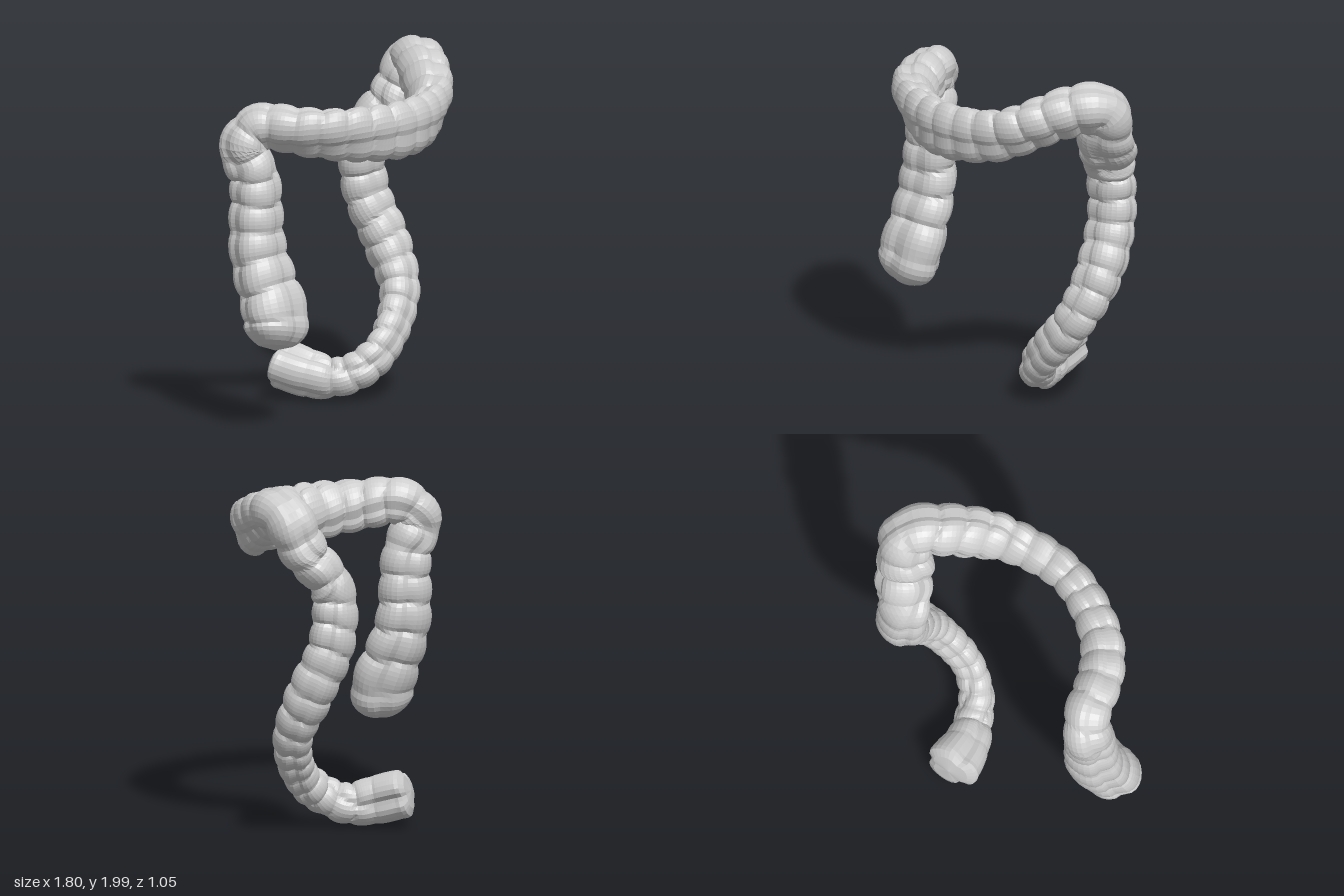
import * as THREE from 'three';

// Centre line of each section: x, y, z, half width outward, half width across
const SECTIONS = [
  ['caecum', [
    [-0.735, 0.46, 0.06, 0.18, 0.15], [-0.695, 0.64, 0.03, 0.205, 0.165]]],
  ['ascendingColon', [
    [-0.69, 1.0, -0.09, 0.18, 0.15], [-0.685, 1.42, -0.12, 0.14, 0.14]]],
  ['rightFlexure', [
    [-0.725, 1.59, -0.165, 0.125, 0.14], [-0.665, 1.69, -0.11, 0.135, 0.13]]],
  ['transverseColon', [
    [-0.54, 1.675, 0.13, 0.155, 0.12], [-0.36, 1.655, 0.30, 0.165, 0.11],
    [0, 1.645, 0.42, 0.165, 0.105], [0.36, 1.685, 0.325, 0.16, 0.11]]],
  ['leftFlexure', [
    [0.65, 1.83, 0.06, 0.155, 0.14], [0.755, 1.84, -0.075, 0.145, 0.145],
    [0.69, 1.62, -0.17, 0.165, 0.135]]],
  ['descendingColon', [
    [0.59, 1.42, -0.285, 0.155, 0.12], [0.60, 1.12, -0.29, 0.15, 0.125],
    [0.635, 0.82, -0.165, 0.14, 0.135], [0.585, 0.57, -0.04, 0.125, 0.11]]],
  ['sigmoidColon', [
    [0.375, 0.31, 0.01, 0.115, 0.09], [0.24, 0.18, -0.055, 0.11, 0.10],
    [0.16, 0.125, -0.17, 0.115, 0.11]]],
  ['rectum', [
    [0.09, 0.145, -0.29, 0.135, 0.13], [0.03, 0.205, -0.50, 0.14, 0.165]]],
];

const SIDES = 30;
const RINGS_PER_POUCH = 7;
const { lerp, smoothstep, clamp } = THREE.MathUtils;

// Walk the centre line, placing rings at equal fractions of a pouch
function sampleRings() {
  const points = SECTIONS.flatMap(([, p]) => p);
  const curve = new THREE.CatmullRomCurve3(
    points.map(([x, y, z]) => new THREE.Vector3(x, y, z)));
  const steps = 3000, rings = [];
  let phase = 0, length = 0, next = 0, last = curve.getPoint(0);
  for (let i = 0; i <= steps; i++) {
    const u = i / steps, pos = curve.getPoint(u);
    const f = u * (points.length - 1);
    const k = Math.min(Math.floor(f), points.length - 2);
    const wide = lerp(points[k][3], points[k + 1][3], f - k);
    const thin = lerp(points[k][4], points[k + 1][4], f - k);
    const ds = pos.distanceTo(last);
    length += ds;
    phase += ds / (0.5 * (wide + thin));
    last = pos;
    if (phase >= next || i === steps) {
      rings.push({ pos, tangent: curve.getTangent(u), wide, thin, f, phase, length });
      next += 1 / RINGS_PER_POUCH;
    }
  }
  return { rings, length, count: points.length };
}

// Three-lobed cross-section, swollen between pouch creases
function ringVertices(ring, total, count) {
  const { pos, tangent, wide, thin, f, phase, length } = ring;
  const outward = new THREE.Vector3(pos.x, pos.y - 1, 0);
  outward.addScaledVector(tangent, -outward.dot(tangent)).normalize();
  const across = new THREE.Vector3().crossVectors(tangent, outward);

  // Domed blind end and blunt far end
  const round = d => Math.sqrt(1 - (1 - clamp(d, 0, 1)) ** 2);
  const taper = round(length / 0.14) * round((total - length) / 0.05);
  const twist = smoothstep(f, count - 5, count - 2) * Math.PI / 3;
  const rectal = smoothstep(f, count - 3, count - 1.5);
  const creaseDepth = lerp(0.16, 0.03, rectal) * smoothstep(f, 0, 1.5);
  const grooveDepth = lerp(0.2, 0.32, rectal);

  const out = [];
  for (let j = 0; j < SIDES; j++) {
    const a = (j / SIDES) * Math.PI * 2;
    const lobe = 1.5 * (a - twist - 1.75);
    const groove = (1 - Math.abs(Math.sin(lobe))) ** 2;
    const stagger = 0.1 * Math.sin(a + 1) + 0.06 * Math.sin(2 * a + phase);
    const pouch = Math.sqrt(Math.abs(Math.sin(Math.PI * (phase + stagger))));
    const r = taper * (1.04 - creaseDepth * (1 - pouch) - grooveDepth * groove);
    out.push(pos.clone()
      .addScaledVector(outward, Math.cos(a) * wide * r)
      .addScaledVector(across, Math.sin(a) * thin * r));
  }
  return out;
}

// Skin a run of rings
function skin(loops) {
  const index = [];
  for (let i = 0; i < loops.length - 1; i++) {
    for (let j = 0; j < SIDES; j++) {
      const a = i * SIDES + j, b = i * SIDES + (j + 1) % SIDES;
      index.push(a, b, a + SIDES, b, b + SIDES, a + SIDES);
    }
  }
  const geometry = new THREE.BufferGeometry().setFromPoints(loops.flat());
  geometry.setIndex(index);
  geometry.computeVertexNormals();
  return geometry;
}

export function createModel() {
  const group = new THREE.Group();
  group.name = 'largeIntestine';
  const material = new THREE.MeshStandardMaterial({ color: 0xcccccc, flatShading: true });
  const { rings, length, count } = sampleRings();
  const loops = rings.map(r => ringVertices(r, length, count));

  // Each section shares its boundary ring with the next
  let first = 0, points = 0;
  for (const [name, section] of SECTIONS) {
    points += section.length;
    const end = points < count ? rings.findIndex(r => r.f >= points) : rings.length - 1;
    const mesh = new THREE.Mesh(skin(loops.slice(first, end + 1)), material);
    mesh.name = name;
    group.add(mesh);
    first = end;
  }
  return group;
}
